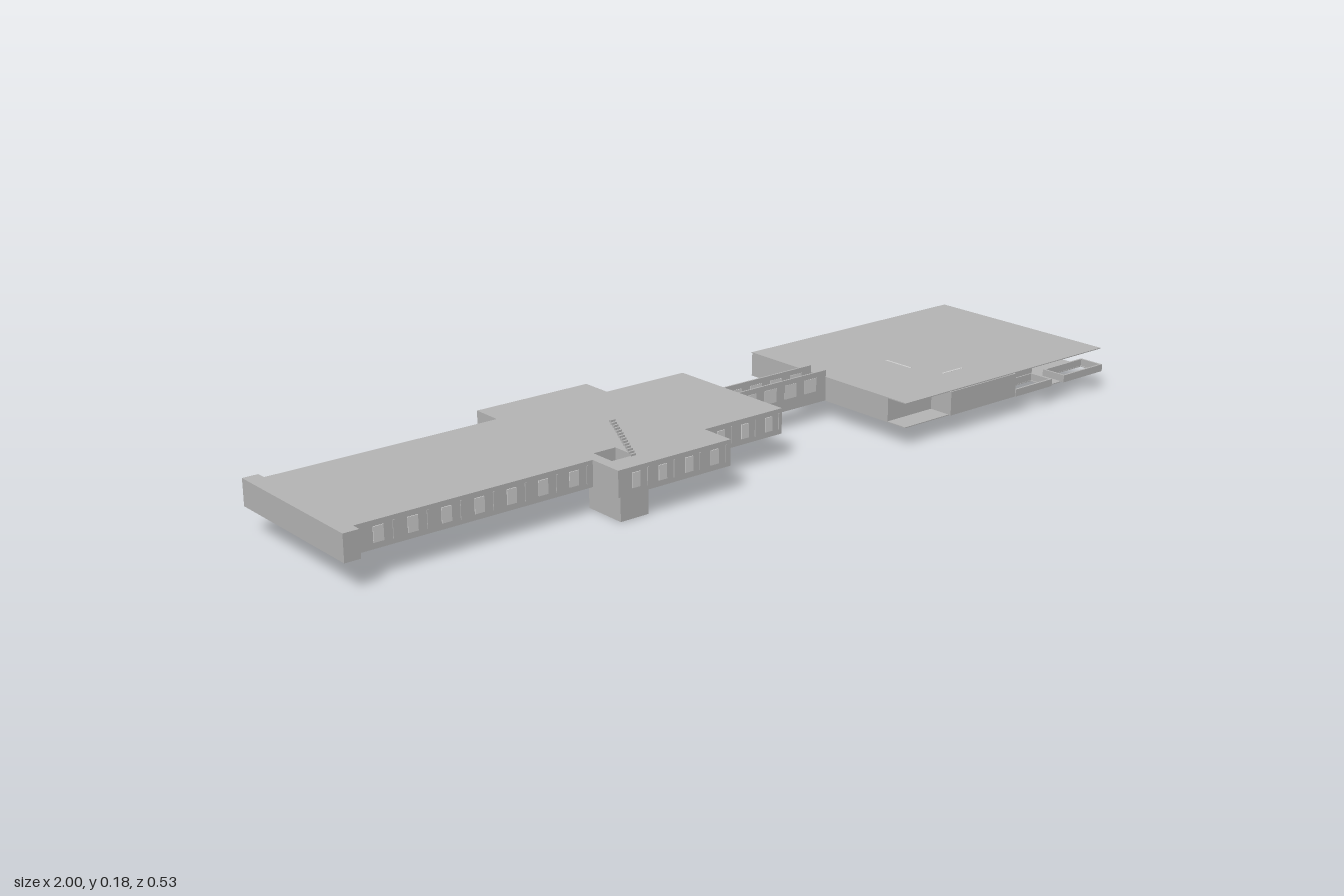
import * as THREE from 'three';

const wallMat = new THREE.MeshStandardMaterial({ color: 0xb6b6b6 });
wallMat.name = 'wall grey';
const glassMat = new THREE.MeshStandardMaterial({ color: 0xd2d2d2 });
glassMat.name = 'pale glass';

// Box given by its extents
function box(parent, name, x0, x1, y0, y1, z0, z1, mat = wallMat) {
  const mesh = new THREE.Mesh(new THREE.BoxGeometry(x1 - x0, y1 - y0, z1 - z0), mat);
  mesh.position.set((x0 + x1) / 2, (y0 + y1) / 2, (z0 + z1) / 2);
  mesh.name = name;
  parent.add(mesh);
  return mesh;
}

const rect = (x0, x1, z0, z1) => [[x0, z0], [x1, z0], [x1, z1], [x0, z1]];
const points = list => list.map(p => new THREE.Vector2(p[0], p[1]));

// Plan outline in x and z, raised from y0 to y1, with holes through it
function slab(parent, name, outline, holes, y0, y1) {
  const shape = new THREE.Shape(points(outline));
  for (const h of holes) shape.holes.push(new THREE.Path(points(h)));
  const geo = new THREE.ExtrudeGeometry(shape, { depth: y1 - y0, bevelEnabled: false });
  geo.rotateX(Math.PI / 2).translate(0, y1, 0);
  const mesh = new THREE.Mesh(geo, wallMat);
  mesh.name = name;
  parent.add(mesh);
}

// Row of window panes and mullions along a wall facing front or back
function windowRow(parent, x0, x1, z, side, count) {
  const step = (x1 - x0) / count;
  for (let i = 0; i < count; i++) {
    const a = x0 + i * step;
    const zs = [z, z + side * 0.002].sort((p, q) => p - q);
    box(parent, 'windowPane', a + step * 0.35, a + step * 0.65, 0.073, 0.105, ...zs, glassMat);
    box(parent, 'mullion', a + step * 0.92, a + step * 0.97, 0.07, 0.108, ...zs);
  }
}

function createMainBuilding() {
  const g = new THREE.Group();
  g.name = 'mainBuilding';
  const shaft = rect(-0.395, -0.34, 0.112, 0.172);
  // Long block with a cross wing and a stairwell
  slab(g, 'mainBlock', [
    [-0.99, -0.19], [-0.42, -0.19], [-0.42, -0.264], [-0.13, -0.264], [-0.13, -0.19], [0.085, -0.19],
    [0.085, 0.142], [-0.13, 0.142], [-0.13, 0.224], [-0.42, 0.224], [-0.42, 0.142], [-0.99, 0.142],
  ], [shaft], 0.06, 0.117);
  // End wall standing proud at the far end
  box(g, 'endWall', -1, -0.965, 0.06, 0.118, -0.21, 0.166);
  // Basement below the stairwell
  slab(g, 'basementWalls', rect(-0.402, -0.332, 0.104, 0.207), [shaft], 0.002, 0.06);
  box(g, 'basementFloor', -0.402, -0.332, 0, 0.003, 0.104, 0.207);
  // Windows on both long sides
  for (const [z, wingZ, side] of [[0.142, 0.224, 1], [-0.19, -0.264, -1]]) {
    windowRow(g, -0.95, -0.43, z, side, 7);
    windowRow(g, -0.41, -0.14, wingZ, side, 4);
    windowRow(g, -0.12, 0.08, z, side, 3);
  }
  // Stair rising above the roof
  const stair = new THREE.Group();
  stair.name = 'roofStair';
  const n = 14;
  for (let i = 0; i < n; i++) {
    const z = 0.175 - i * 0.005, y = 0.117 + i * 0.0042;
    box(stair, 'step', -0.349, -0.337, y - 0.001, y + 0.0042, z - 0.0055, z);
  }
  g.add(stair);
  return g;
}

function createCorridor() {
  const g = new THREE.Group();
  g.name = 'corridor';
  box(g, 'corridorFloor', 0.085, 0.345, 0.045, 0.049, -0.05, 0.003);
  // Glazed side walls
  for (const z of [-0.048, 0.001]) {
    box(g, 'corridorWall', 0.085, 0.345, 0.045, 0.117, z - 0.002, z + 0.002);
    for (let i = 0; i < 4; i++) {
      const x = 0.1 + i * 0.06;
      box(g, 'corridorWindow', x, x + 0.035, 0.073, 0.105, z - 0.003, z + 0.003, glassMat);
    }
  }
  return g;
}

function createPavilion() {
  const g = new THREE.Group();
  g.name = 'pavilion';
  const y0 = 0.045, y1 = 0.1, t = 0.003;
  const planters = [[0.862, 1], [0.695, 0.82]];
  const bay = [0.482, 0.695];
  // Thin floor and roof plates
  const floorHoles = planters.map(([a, b]) => rect(a + 0.008, b - 0.008, 0.206, 0.25));
  floorHoles.push(rect(0.49, 0.64, 0.206, 0.25), rect(0.55, 0.64, 0, 0.06), rect(0.51, 0.545, -0.24, -0.07));
  slab(g, 'floorPlate', rect(0.345, 1, -0.25, 0.256), floorHoles, y0 - 0.001, y0 + 0.001);
  slab(g, 'roofPlate', rect(0.345, 1, -0.25, 0.256), [], y1 - 0.001, y1 + 0.001);
  // Outer walls of the enclosed room
  box(g, 'sideWall', 0.345, 0.345 + t, y0, y1, -0.248, 0.202);
  box(g, 'backWall', 0.345, 0.74, y0, y1, -0.248, -0.248 + t);
  box(g, 'frontWall', 0.345, 0.82, y0, y1, 0.202 - t, 0.202);
  box(g, 'outerWall', 0.74 - t, 0.74, y0, y1, -0.248, 0);
  box(g, 'returnWall', 0.74 - t, 0.82, y0, y1, 0, t);
  box(g, 'outerWall', 0.82 - t, 0.82, y0, y1, 0, 0.202);
  // Projecting bay on the front
  box(g, 'bayFront', bay[0], bay[1], y0, y1, 0.262 - t, 0.262);
  box(g, 'baySide', bay[0], bay[0] + t, y0, y1, 0.2, 0.262);
  box(g, 'baySide', bay[1] - t, bay[1], y0, y1, 0.2, 0.262);
  // Low open planter frames
  for (const [a, b] of planters) {
    slab(g, 'planterFrame', rect(a, b, 0.2, 0.264), [rect(a + 0.005, b - 0.005, 0.205, 0.259)], y0, 0.062);
  }
  // Narrow roof lights
  box(g, 'roofLight', 0.538, 0.543, y1, y1 + 0.0015, 0, 0.08, glassMat);
  box(g, 'roofLight', 0.565, 0.63, y1, y1 + 0.0015, 0.153, 0.158, glassMat);
  return g;
}

export function createModel() {
  const model = new THREE.Group();
  model.name = 'buildingComplex';
  model.add(createMainBuilding(), createCorridor(), createPavilion());
  return model;
}
